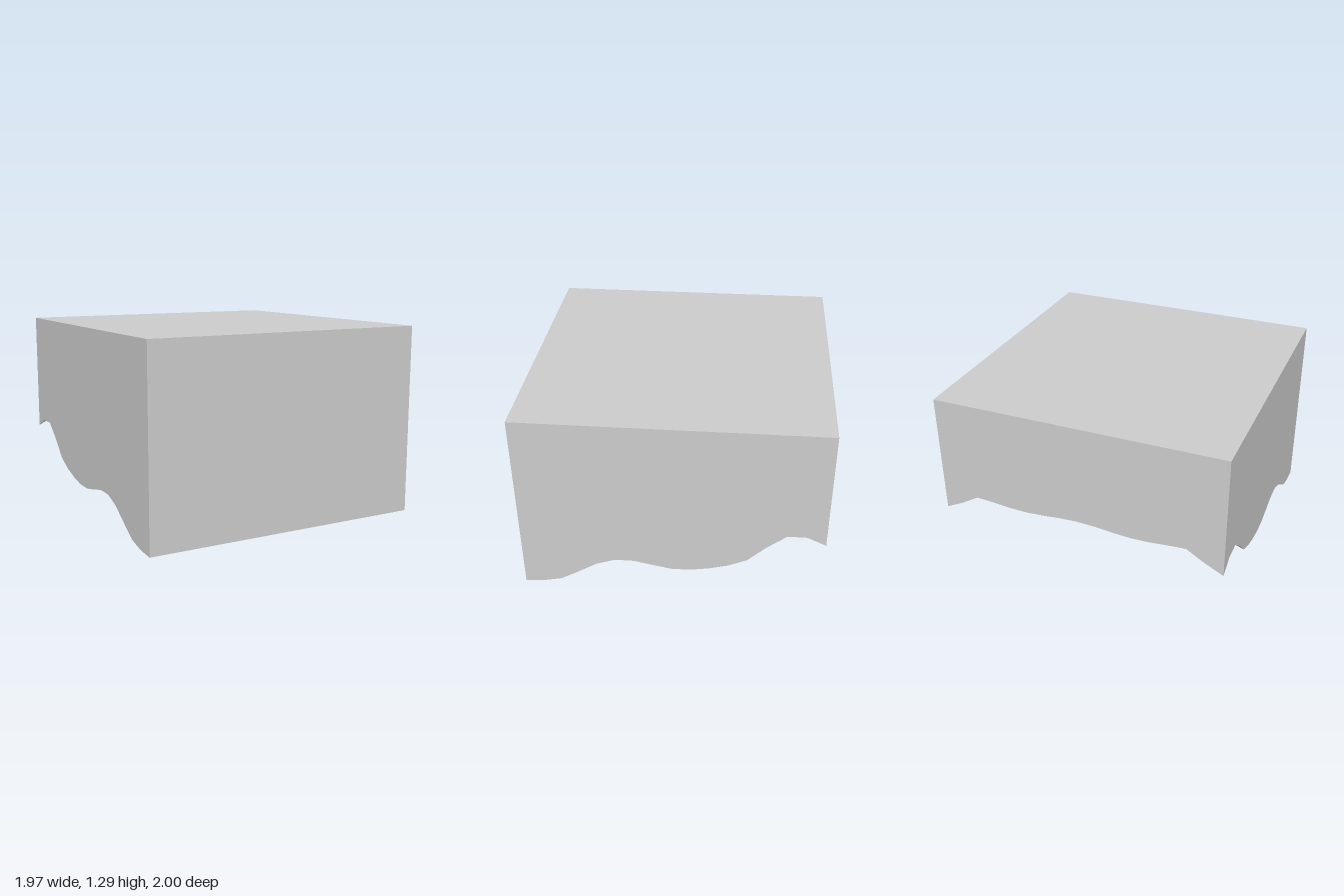
import * as THREE from 'three';

const N = 16, HX = 0.985, TOP = 1.29;
const { smoothstep } = THREE.MathUtils;

// height of the underside along the side walls, front to back
const profile = [0, 0.008, 0.036, 0.11, 0.188, 0.232, 0.232, 0.205, 0.181, 0.182, 0.204, 0.238, 0.295, 0.416, 0.515, 0.515, 0.457];

// underside: wave along z, arched across x, flat at the front edge
function under(i, j) {
  const u = (2 * i) / N - 1, z = 1 - (2 * j) / N;
  const rise = j === 0 ? 0 : 0.13 * smoothstep(1 - z, -0.12, 0.6);
  // the arch starts later and climbs more gently in the valley
  const valley = Math.exp(-(((z + 0.25) / 0.22) ** 2));
  const arch = smoothstep(1 - Math.abs(u), 0.06 * valley, 0.27 + 0.2 * valley);
  const ripple = 0.97 + 0.1 * Math.cos(u * Math.PI * 2.5);
  return [u * HX, profile[j] + rise * arch * ripple, z];
}
const above = ([x, , z]) => [x, TOP, z];

// flat-shaded mesh from quads, corners counter-clockwise from outside
function quadMesh(name, quads) {
  const pos = quads.flatMap(([a, b, c, d]) => [a, b, c, a, c, d].flat());
  const geo = new THREE.BufferGeometry();
  geo.setAttribute('position', new THREE.Float32BufferAttribute(pos, 3));
  geo.computeVertexNormals();
  const mesh = new THREE.Mesh(geo, new THREE.MeshStandardMaterial({ color: 0xcccccc, flatShading: true }));
  mesh.name = name;
  return mesh;
}

export function createModel() {
  const group = new THREE.Group();
  group.name = 'wavyBlock';
  const floor = [], front = [], back = [], left = [], right = [];
  const wall = (a, b) => [a, b, above(b), above(a)];

  for (let i = 0; i < N; i++) {
    front.push(wall(under(i, 0), under(i + 1, 0)));
    back.push(wall(under(i + 1, N), under(i, N)));
    left.push(wall(under(N, i), under(N, i + 1)));
    right.push(wall(under(0, i + 1), under(0, i)));
    for (let j = 0; j < N; j++)
      floor.push([under(i, j), under(i, j + 1), under(i + 1, j + 1), under(i + 1, j)]);
  }

  group.add(
    quadMesh('wavyUnderside', floor),
    quadMesh('frontWall', front),
    quadMesh('backWall', back),
    quadMesh('leftWall', left),
    quadMesh('rightWall', right),
    quadMesh('topFace', [[under(0, 0), under(N, 0), under(N, N), under(0, N)].map(above)])
  );
  return group;
}
